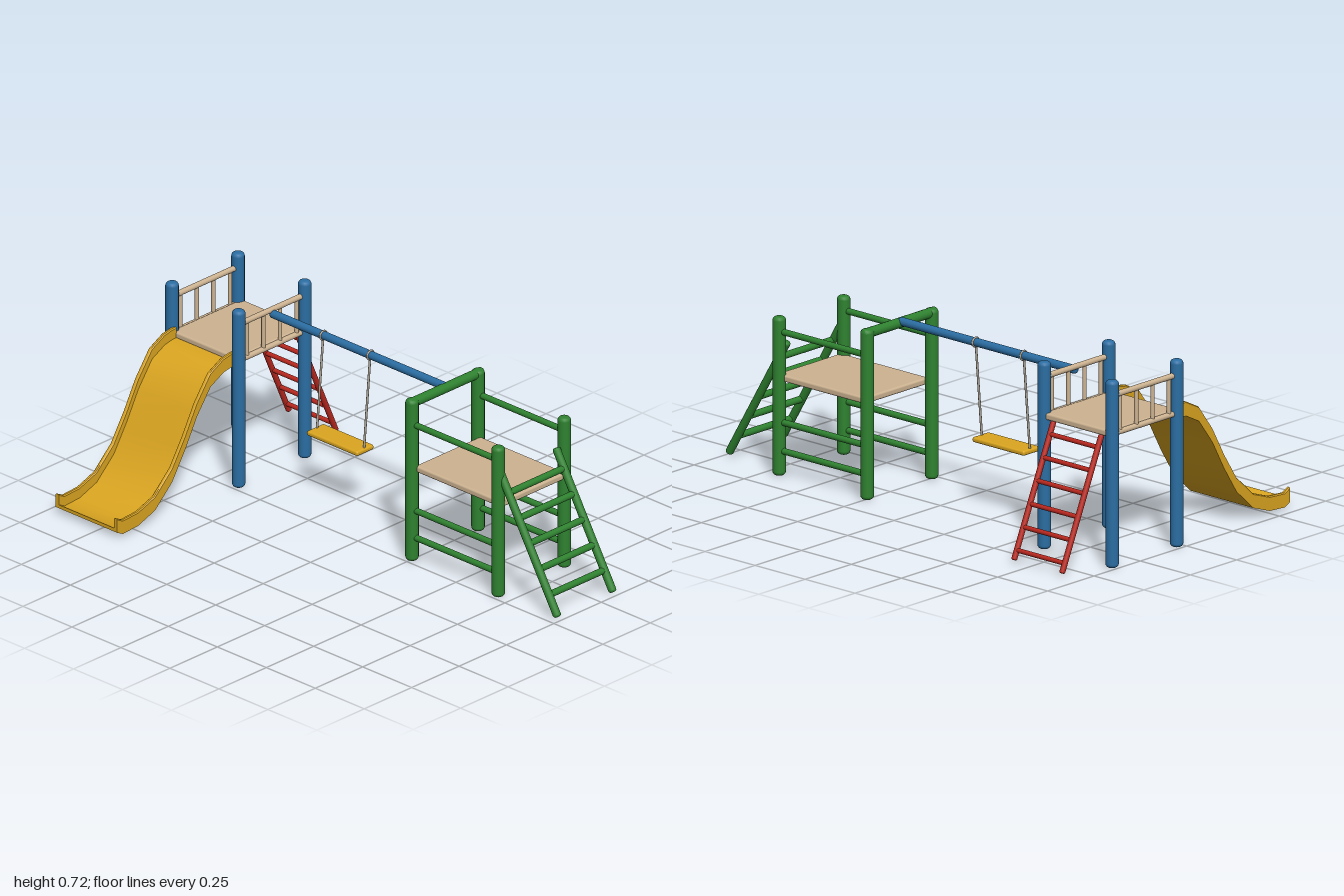
import * as THREE from 'three';
import { toCreasedNormals } from 'three/addons/utils/BufferGeometryUtils.js';
import { RoundedBoxGeometry } from 'three/addons/geometries/RoundedBoxGeometry.js';

function material(name, color) {
  const m = new THREE.MeshStandardMaterial({ color });
  m.name = name;
  return m;
}

export function createModel() {
  const blue = material('blue', 0x2b6ea3);
  const green = material('green', 0x2f8230);
  const yellow = material('yellow', 0xdaa520);
  const red = material('red', 0xb9281f);
  const tan = material('tan', 0xcdb391);
  const rope = material('rope', 0xaaa294);

  const model = new THREE.Group();
  model.name = 'playground';
  const group = (name) => {
    const g = new THREE.Group();
    g.name = name;
    model.add(g);
    return g;
  };
  const addMesh = (parent, name, geometry, mat) => {
    const mesh = new THREE.Mesh(geometry, mat);
    mesh.name = name;
    parent.add(mesh);
    return mesh;
  };

  // Round bar between two points, with softened ends
  const rod = (parent, name, a, b, r, mat) => {
    const start = new THREE.Vector3(...a);
    const dir = new THREE.Vector3(...b).sub(start);
    const len = dir.length();
    const e = r * 0.6;
    const profile = [new THREE.Vector2(0, 0)];
    for (let i = 0; i <= 4; i++) {
      const t = (i / 4) * Math.PI / 2;
      profile.push(new THREE.Vector2(r - e + e * Math.sin(t), e - e * Math.cos(t)));
    }
    const top = profile.map((p) => new THREE.Vector2(p.x, len - p.y)).reverse();
    const mesh = addMesh(parent, name, new THREE.LatheGeometry([...profile, ...top], 16), mat);
    mesh.position.copy(start);
    mesh.quaternion.setFromUnitVectors(new THREE.Vector3(0, 1, 0), dir.normalize());
    return mesh;
  };
  const slab = (parent, name, size, pos, mat) => {
    const mesh = addMesh(parent, name, new RoundedBoxGeometry(...size, 3, 0.008), mat);
    mesh.position.set(...pos);
  };

  const zFront = -0.027, zBack = -0.375;

  // Slide tower
  const tower = group('slideTower');
  for (const x of [-0.975, -0.635]) {
    for (const z of [zFront, zBack]) rod(tower, 'towerPost', [x, 0, z], [x, 0.72, z], 0.025, blue);
    rod(tower, 'handrail', [x, 0.66, zFront], [x, 0.66, zBack], 0.011, tan);
    for (let i = 0; i < 4; i++) {
      const z = -0.07 - i * 0.0875;
      rod(tower, 'baluster', [x, 0.51, z], [x, 0.66, z], 0.008, tan);
    }
  }
  slab(tower, 'towerPlatform', [0.33, 0.026, 0.37], [-0.805, 0.513, -0.203], tan);
  // Bottom board under each railing
  for (const x of [-0.975, -0.635]) rod(tower, 'lowerRail', [x, 0.513, zFront], [x, 0.513, zBack], 0.011, tan);

  // Slide: U section swept along a [z, y] path
  const path = [[-0.02, 0.49], [0, 0.489], [0.04, 0.482], [0.108, 0.447], [0.18, 0.35], [0.242, 0.237],
    [0.31, 0.13], [0.4, 0.046], [0.49, 0.014], [0.57, 0.009], [0.6, 0.024]];
  const h = 0.157, t = 0.016, wall = 0.056, bed = 0.014;
  const section = [[-h, 0], [h, 0], [h, wall - 0.004], [h - 0.004, wall], [h - t + 0.004, wall], [h - t, wall - 0.004], [h - t, bed],
    [t - h, bed], [t - h, wall - 0.004], [t - h - 0.004, wall], [0.004 - h, wall], [-h, wall - 0.004]];
  const n = section.length;
  const verts = [], index = [];
  for (const [z, y] of path) for (const [x, dy] of section) verts.push(x - 0.805, y + dy, z);
  for (let s = 0; s < path.length - 1; s++) {
    for (let i = 0; i < n; i++) {
      const a = s * n + i, b = s * n + (i + 1) % n;
      index.push(a, b, b + n, a, b + n, a + n);
    }
  }
  const last = (path.length - 1) * n;
  const caps = THREE.ShapeUtils.triangulateShape(section.map((p) => new THREE.Vector2(...p)), []);
  for (const [a, b, c] of caps) index.push(a, c, b, last + a, last + b, last + c);
  const slide = new THREE.BufferGeometry();
  slide.setAttribute('position', new THREE.Float32BufferAttribute(verts, 3));
  slide.setIndex(index);
  addMesh(model, 'slide', toCreasedNormals(slide, 0.6), yellow);

  // Red ladder behind the slide tower
  const redLadder = group('backLadder');
  for (const x of [-0.925, -0.685]) rod(redLadder, 'ladderRail', [x, 0.5, -0.378], [x, 0.015, -0.592], 0.011, red);
  for (let i = 0; i < 6; i++) {
    const y = 0.05 + i * 0.081, z = -0.592 + (y - 0.015) * 0.441;
    rod(redLadder, 'ladderRung', [-0.925, y, z], [-0.685, y, z], 0.009, red);
  }

  // Swing hanging from the beam
  const swing = group('swing');
  rod(swing, 'swingBeam', [-0.635, 0.645, -0.2], [0.25, 0.645, -0.2], 0.016, blue);
  for (const x of [-0.37, -0.13]) {
    rod(swing, 'swingRope', [x, 0.63, -0.198], [x, 0.27, -0.166], 0.0045, rope);
    const ring = addMesh(swing, 'ropeRing', new THREE.TorusGeometry(0.017, 0.004, 8, 20), rope);
    ring.rotation.y = Math.PI / 2;
    ring.position.set(x, 0.645, -0.2);
  }
  slab(swing, 'swingSeat', [0.26, 0.02, 0.09], [-0.25, 0.27, -0.165], yellow);

  // Climbing frame
  const frame = group('climbingFrame');
  for (const z of [zFront, zBack]) {
    rod(frame, 'tallPost', [0.25, 0, z], [0.25, 0.655, z], 0.025, green);
    rod(frame, 'shortPost', [0.69, 0, z], [0.69, 0.61, z], 0.025, green);
    for (const y of [0.095, 0.205, 0.553]) rod(frame, 'sideBar', [0.25, y, z], [0.69, y, z], 0.012, green);
  }
  rod(frame, 'topBar', [0.25, 0.638, -0.004], [0.25, 0.638, -0.398], 0.019, green);
  slab(frame, 'framePlatform', [0.44, 0.026, 0.345], [0.483, 0.373, -0.201], tan);

  // Green ladder leaning on the frame
  const greenLadder = group('sideLadder');
  for (const z of [-0.035, -0.327]) rod(greenLadder, 'ladderRail', [0.694, 0.5, z], [0.986, 0.01, z], 0.0155, green);
  for (let i = 0; i < 5; i++) {
    const y = 0.085 + i * 0.0865, x = 0.986 - (y - 0.01) * 0.596;
    rod(greenLadder, 'ladderRung', [x, y, -0.035], [x, y, -0.327], 0.013, green);
  }
  return model;
}
